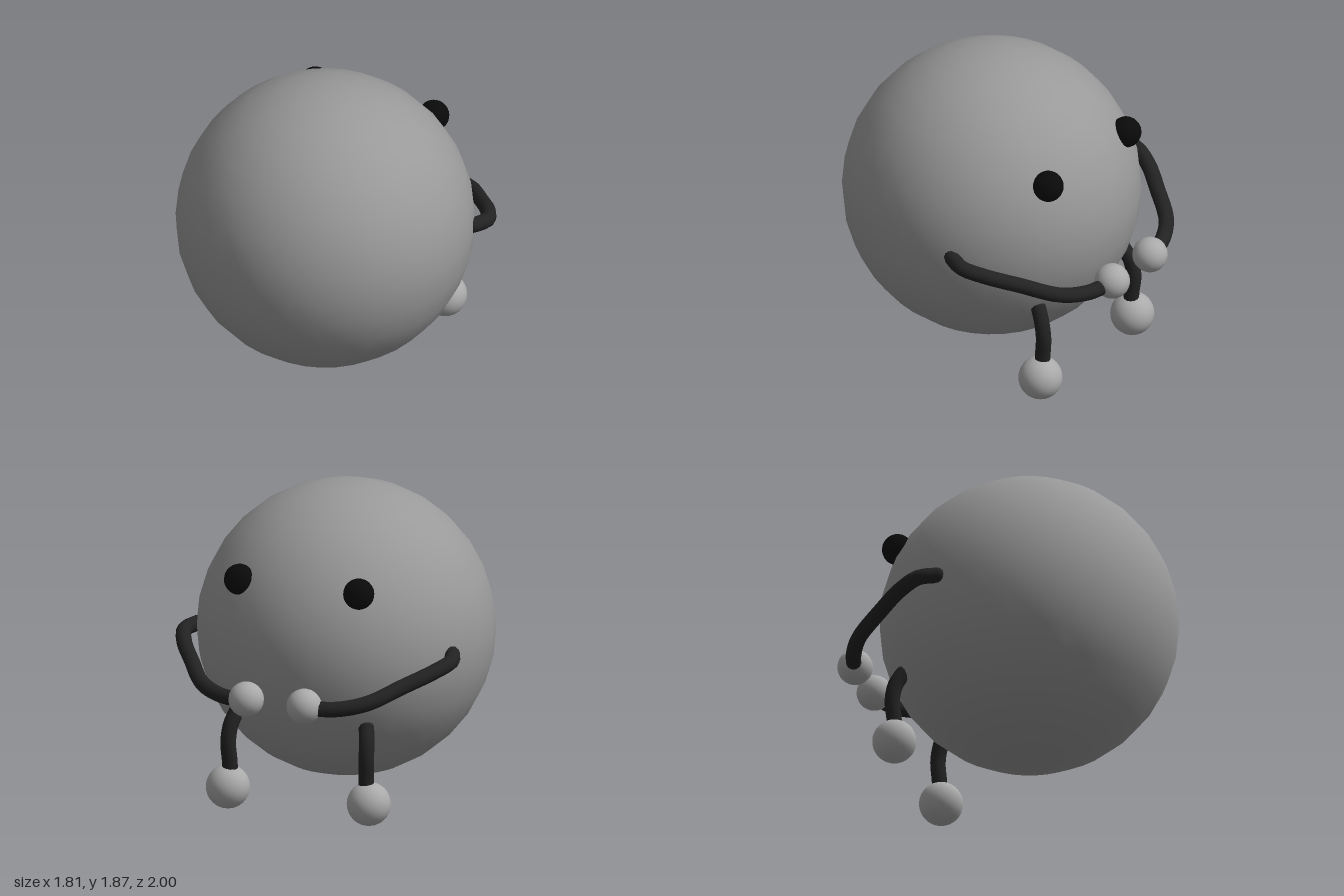
import * as THREE from 'three';

const bodyGrey = new THREE.MeshStandardMaterial({ color: 0x999999 });
const lightGrey = new THREE.MeshStandardMaterial({ color: 0xaaaaaa });
const dark = new THREE.MeshStandardMaterial({ color: 0x222222 });
const black = new THREE.MeshStandardMaterial({ color: 0x0a0a0a });

function ball(name, radius, [x, y, z], material, segments = 32) {
  const mesh = new THREE.Mesh(new THREE.SphereGeometry(radius, segments, segments / 2), material);
  mesh.name = name;
  mesh.position.set(x, y, z);
  return mesh;
}

// Bent round limb with a rounded root
function limb(name, radius, points) {
  const group = new THREE.Group();
  group.name = name;
  const curve = new THREE.CatmullRomCurve3(points.map((p) => new THREE.Vector3(...p)));
  const tube = new THREE.Mesh(new THREE.TubeGeometry(curve, 28, radius, 12), dark);
  tube.name = name + 'Tube';
  group.add(tube, ball(name + 'Root', radius, points[0], dark, 12));
  return group;
}

export function createModel() {
  const model = new THREE.Group();
  model.name = 'roundCreature';

  // Large round body; the face looks towards -z
  model.add(ball('body', 0.88, [0.005, 0.987, 0.118], bodyGrey));

  for (const s of [-1, 1]) {
    const side = s < 0 ? 'right' : 'left';

    // Eye half sunk into the body
    model.add(ball(side + 'Eye', 0.092, [s * 0.385 - 0.005, 1.4, -0.568], black, 24));

    // Arm sweeping round to a ball hand
    model.add(limb(side + 'Arm', 0.046, [
      [s * 0.82, 0.99, -0.19],
      [s * 0.859, 0.973, -0.29],
      [s * 0.805, 0.935, -0.42],
      [s * 0.68, 0.872, -0.585],
      [s * 0.53, 0.797, -0.76],
      [s * 0.37, 0.765, -0.845],
      [s * 0.21, 0.766, -0.89],
    ]));
    model.add(ball(side + 'Hand', 0.105, [s * 0.187, 0.775, -0.893], lightGrey, 24));

    // Short leg down to a ball foot
    model.add(limb(side + 'Leg', 0.046, [
      [s * 0.42, 0.58, -0.525],
      [s * 0.44, 0.50, -0.565],
      [s * 0.446, 0.40, -0.583],
      [s * 0.44, 0.28, -0.573],
      [s * 0.442, 0.16, -0.565],
    ]));
    model.add(ball(side + 'Foot', 0.13, [s * 0.455, 0.13, -0.567], lightGrey));
  }
  return model;
}
